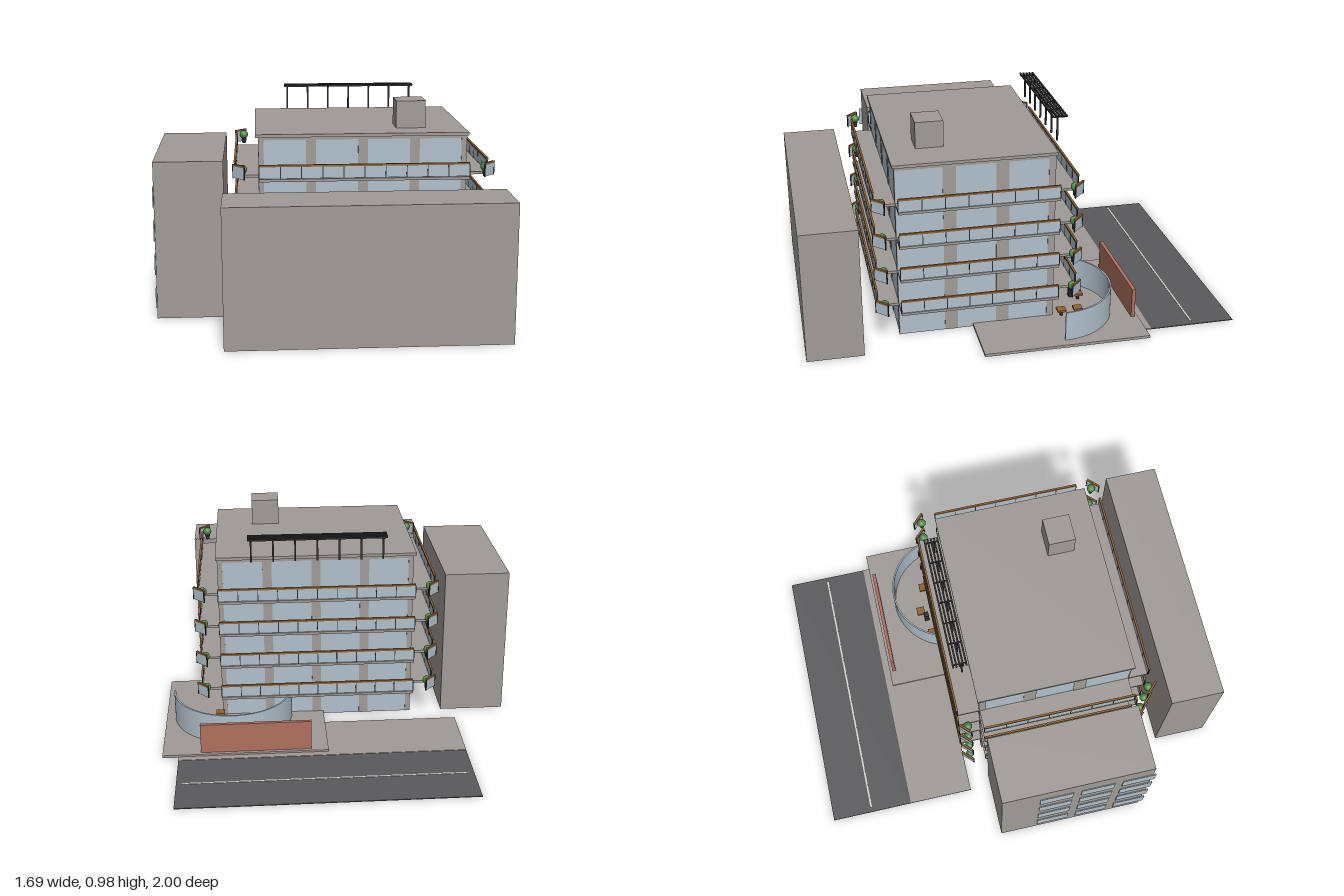
import * as THREE from 'three';

const mat = (name, color) => {
  const m = new THREE.MeshStandardMaterial({ color });
  m.name = name;
  return m;
};

export function createModel() {
  const concrete = mat('concrete', 0xa09b96);
  const glass = mat('glass', 0xb0c0cb);
  const asphalt = mat('asphalt', 0x5a5a5c);
  const paint = mat('road paint', 0xd8d8d4);
  const brick = mat('brick', 0xb0705e);
  const wood = mat('wood', 0x8f6234);
  const metal = mat('dark metal', 0x2e2e30);
  const leaf = mat('leaf', 0x4f8a45);

  const model = new THREE.Group();
  model.name = 'buildingSite';

  // Box given by its min and max on each axis
  const box = (name, m, x0, x1, y0, y1, z0, z1, parent = model) => {
    const mesh = new THREE.Mesh(new THREE.BoxGeometry(x1 - x0, y1 - y0, z1 - z0), m);
    mesh.position.set((x0 + x1) / 2, (y0 + y1) / 2, (z0 + z1) / 2);
    mesh.name = name;
    parent.add(mesh);
    return mesh;
  };

  // Tower footprint
  const X0 = -0.375, X1 = 0.56, Z0 = -0.17, Z1 = 0.56;
  const cx = (X0 + X1) / 2, cz = (Z0 + Z1) / 2;

  // Ground: road, pavement and raised plaza
  box('road', asphalt, -0.59, 0.765, 0, 0.004, -1, -0.595);
  box('roadLine', paint, -0.565, 0.74, 0.004, 0.006, -0.804, -0.796);
  box('pavement', concrete, -0.59, 0.765, 0, 0.006, -0.595, -0.275);
  box('plaza', concrete, 0.06, 0.84, 0.002, 0.015, -0.563, 0.215);

  // Neighbouring blocks
  box('frontBlock', concrete, -0.535, 0.71, 0, 0.625, 0.74, 1);
  box('sideBlock', concrete, -0.848, -0.535, 0, 0.73, Z0, Z1);
  for (let r = 0; r < 4; r++) {
    for (let c = 0; c < 3; c++) {
      const y = 0.055 + r * 0.157, z = 0.015 + c * 0.2;
      box('blockWindow', glass, -0.852, -0.846, y, y + 0.09, z, z + 0.16);
    }
  }

  // Tower: glazed core, pilasters, top beam and roof
  const tower = new THREE.Group();
  tower.name = 'tower';
  model.add(tower);
  box('glazing', glass, X0, X1, 0, 0.836, Z0, Z1, tower);
  const e = 0.002;
  for (let i = 0; i <= 4; i++) {
    const x = X0 + (i * (X1 - X0)) / 4;
    const a = Math.max(x - 0.022, X0 - e), b = Math.min(x + 0.022, X1 + e);
    box('frontPilaster', concrete, a, b, 0, 0.836, Z1 - e, Z1 + e, tower);
    box('backPilaster', concrete, a, b, 0, 0.836, Z0 - e, Z0 + e, tower);
  }
  for (let i = 0; i < 3; i++) {
    const z = Z0 + (i * (Z1 - Z0)) / 3;
    const a = Math.max(z - 0.03, Z0 - e), b = z + 0.03;
    box('rightPilaster', concrete, X0 - e, X0 + e, 0, 0.836, a, b, tower);
    box('leftPilaster', concrete, X1 - e, X1 + e, 0, 0.836, a, b, tower);
  }
  box('topBeam', concrete, X0 - 0.003, X1 + 0.003, 0.823, 0.837, Z0 - 0.003, Z1 + 0.003, tower);
  box('roof', concrete, -0.39, 0.57, 0.836, 0.85, -0.18, 0.572, tower);
  box('roofHut', concrete, 0.255, 0.39, 0.85, 0.975, 0.31, 0.44, tower);

  // Railing of glass bays between posts, with a wooden handrail
  const railing = (parent, x, z, angle, length, bays) => {
    const g = new THREE.Group();
    g.name = 'railing';
    g.position.set(x, 0, z);
    g.rotation.y = angle;
    parent.add(g);
    const h = length / 2;
    box('glassPanel', glass, -h, h, 0.002, 0.055, -0.002, 0.002, g);
    box('handrail', wood, -h, h, 0.055, 0.064, -0.005, 0.005, g);
    for (let i = 0; i <= bays; i++) {
      const p = -h + (i * length) / bays;
      box('post', metal, p - 0.002, p + 0.002, 0, 0.056, -0.003, 0.003, g);
    }
  };

  // Four floors of balconies around the tower
  const ball = new THREE.SphereGeometry(0.021, 14, 10);
  const pot = new THREE.CylinderGeometry(0.012, 0.009, 0.03, 10);
  for (let f = 0; f < 4; f++) {
    const floor = new THREE.Group();
    floor.name = 'balconyFloor';
    floor.position.y = 0.165 + f * 0.167;
    model.add(floor);
    box('frontSlab', concrete, X0, X1, -0.012, 0, Z1, 0.663, floor);
    box('backSlab', concrete, X0, X1, -0.012, 0, -0.283, Z0, floor);
    box('rightSlab', concrete, -0.485, X0, -0.012, 0, Z0, Z1, floor);
    box('leftSlab', concrete, X1, 0.66, -0.012, 0, Z0, Z1, floor);
    railing(floor, cx, 0.658, 0, X1 - X0, 10);
    railing(floor, cx, -0.278, 0, X1 - X0, 10);
    railing(floor, -0.482, cz, Math.PI / 2, Z1 - Z0, 7);
    railing(floor, 0.657, cz, Math.PI / 2, Z1 - Z0, 7);

    // Diagonal corner railings with potted shrubs
    for (const sx of [-1, 1]) {
      for (const sz of [-1, 1]) {
        railing(floor, cx + sx * 0.557, cz + sz * 0.452, sx * sz * Math.PI / 4, 0.07, 1);
        const px = cx + sx * 0.541, pz = cz + sz * 0.438;
        const shrub = new THREE.Mesh(ball, leaf);
        shrub.name = 'shrub';
        shrub.position.set(px, 0.04, pz);
        const planter = new THREE.Mesh(pot, metal);
        planter.name = 'planter';
        planter.position.set(px, 0.012, pz);
        floor.add(shrub, planter);
      }
    }
  }

  // Pergola: row of posts carrying slats
  const pergola = new THREE.Group();
  pergola.name = 'pergola';
  model.add(pergola);
  for (let i = 0; i < 7; i++) {
    const x = -0.224 + i * 0.104;
    box('pergolaPost', metal, x - 0.004, x + 0.004, 0.84, 0.957, -0.222, -0.214, pergola);
    box('pergolaArm', metal, x - 0.003, x + 0.003, 0.952, 0.957, -0.26, -0.192, pergola);
  }
  for (let i = 0; i < 5; i++) {
    const z = -0.258 + i * 0.0155;
    box('pergolaSlat', metal, -0.24, 0.415, 0.957, 0.965, z - 0.004, z + 0.004, pergola);
  }

  // Curved glass screen on the plaza
  const arc = new THREE.Shape();
  arc.absarc(0, 0, 0.29, 0, Math.PI, false);
  arc.absarc(0, 0, 0.282, Math.PI, 0, true);
  const screen = new THREE.Mesh(
    new THREE.ExtrudeGeometry(arc, { depth: 0.142, bevelEnabled: false, curveSegments: 32 }), glass);
  screen.name = 'curvedScreen';
  screen.rotation.x = -Math.PI / 2;
  screen.position.set(0.507, 0.015, Z0);
  model.add(screen);

  // Brick garden wall
  box('brickWall', brick, 0.14, 0.66, 0.015, 0.16, -0.547, -0.53);

  // Plaza furniture: wooden seats and a dark pedestal
  for (const [x, z] of [[0.3, -0.293], [0.437, -0.33], [0.573, -0.29], [0.573, -0.21]]) {
    box('seatTop', wood, x - 0.021, x + 0.021, 0.04, 0.05, z - 0.021, z + 0.021);
    box('seatLeg', metal, x - 0.006, x + 0.006, 0.015, 0.04, z - 0.006, z + 0.006);
  }
  box('pedestal', metal, 0.386, 0.414, 0.015, 0.075, -0.317, -0.293);

  return model;
}
